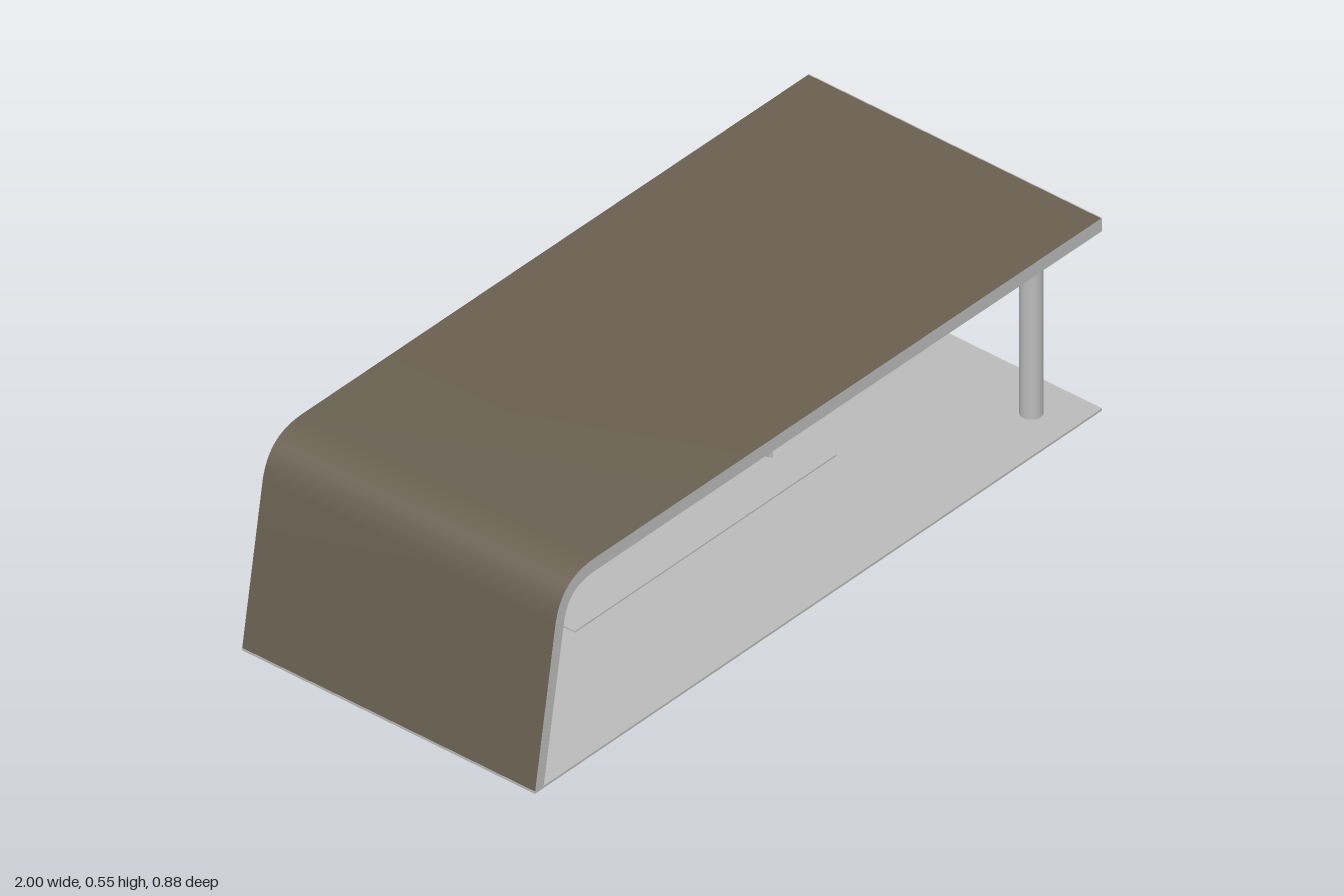
import * as THREE from 'three';
import { toCreasedNormals } from 'three/addons/utils/BufferGeometryUtils.js';

export function createModel() {
  const model = new THREE.Group();
  model.name = 'shelteredWaitingArea';
  const grey = new THREE.MeshStandardMaterial({ name: 'lightGrey', color: 0xbababa });
  const brown = new THREE.MeshStandardMaterial({ name: 'canopyBrown', color: 0x696051 });

  const add = (name, geometry, material = grey, parent = model) => {
    const mesh = new THREE.Mesh(geometry, material);
    mesh.name = name;
    parent.add(mesh);
    return mesh;
  };
  // Box given by its limits on each axis
  const box = (name, x0, x1, y0, y1, z0, z1, parent = model) =>
    add(name, new THREE.BoxGeometry(x1 - x0, y1 - y0, z1 - z0), grey, parent)
      .position.set((x0 + x1) / 2, (y0 + y1) / 2, (z0 + z1) / 2);
  const pole = (name, r, x, z, y0, y1, parent = model) =>
    add(name, new THREE.CylinderGeometry(r, r, y1 - y0, 32), grey, parent)
      .position.set(x, (y0 + y1) / 2, z);

  // Ground slab and the raised platform set into it
  box('groundSlab', -1, 1, 0.004, 0.01, -0.44, 0.44);
  box('platform', -0.46, 0.463, 0, 0.014, -0.335, 0.1);

  // Canopy: leaning wall that bends into a long roof
  const profile = new THREE.Shape();
  profile.moveTo(-1, 0.004);
  profile.lineTo(-0.927, 0.44);
  profile.bezierCurveTo(-0.912, 0.515, -0.87, 0.55, -0.79, 0.551);
  profile.lineTo(0, 0.548);
  profile.lineTo(0.997, 0.543);
  profile.lineTo(0.997, 0.506);
  profile.lineTo(0, 0.512);
  profile.lineTo(-0.79, 0.515);
  profile.bezierCurveTo(-0.85, 0.514, -0.882, 0.49, -0.895, 0.44);
  profile.lineTo(-0.97, 0.004);
  profile.closePath();
  const shell = new THREE.ExtrudeGeometry(profile, { depth: 0.88, bevelEnabled: false, curveSegments: 12 });
  shell.translate(0, 0, -0.44);
  add('canopy', toCreasedNormals(shell, 0.5), [grey, brown]);
  box('canopyEndTrim', 0.997, 1, 0.506, 0.543, -0.44, 0.44);

  // Round columns under the open end
  for (const z of [0.328, -0.35]) pole('canopyColumn', 0.028, 0.882, z, 0.01, 0.509);

  // Small shelter inside
  const shelter = new THREE.Group();
  shelter.name = 'shelter';
  model.add(shelter);
  box('shelterRoof', -0.47, 0.455, 0.46, 0.482, -0.248, 0.053, shelter);
  for (const x of [-0.374, 0.358]) {
    box('rearPost', x - 0.008, x + 0.008, 0.014, 0.46, -0.202, -0.183, shelter);
    pole('frontPole', 0.005, x, -0.01, 0.014, 0.46, shelter);
  }
  box('sidePanel', 0.351, 0.365, 0.014, 0.46, -0.181, -0.014, shelter);
  box('noticeBoard', 0.365, 0.373, 0.222, 0.43, -0.181, -0.014, shelter);

  // Horizontal rails fixed behind the rear posts
  for (const y of [0.083, 0.128, 0.178, 0.229, 0.279])
    box('backRail', -0.382, 0.366, y - 0.0045, y + 0.0045, -0.212, -0.202, shelter);

  // Three benches, each with a seat and a leg at either end
  for (const x of [-0.245, -0.009, 0.225]) {
    const bench = new THREE.Group();
    bench.name = 'bench';
    bench.position.x = x;
    shelter.add(bench);
    box('benchSeat', -0.105, 0.105, 0.066, 0.08, -0.17, -0.07, bench);
    for (const s of [-1, 1])
      box('benchLeg', s * 0.097 - 0.007, s * 0.097 + 0.007, 0.014, 0.066, -0.14, -0.095, bench);
  }
  return model;
}
